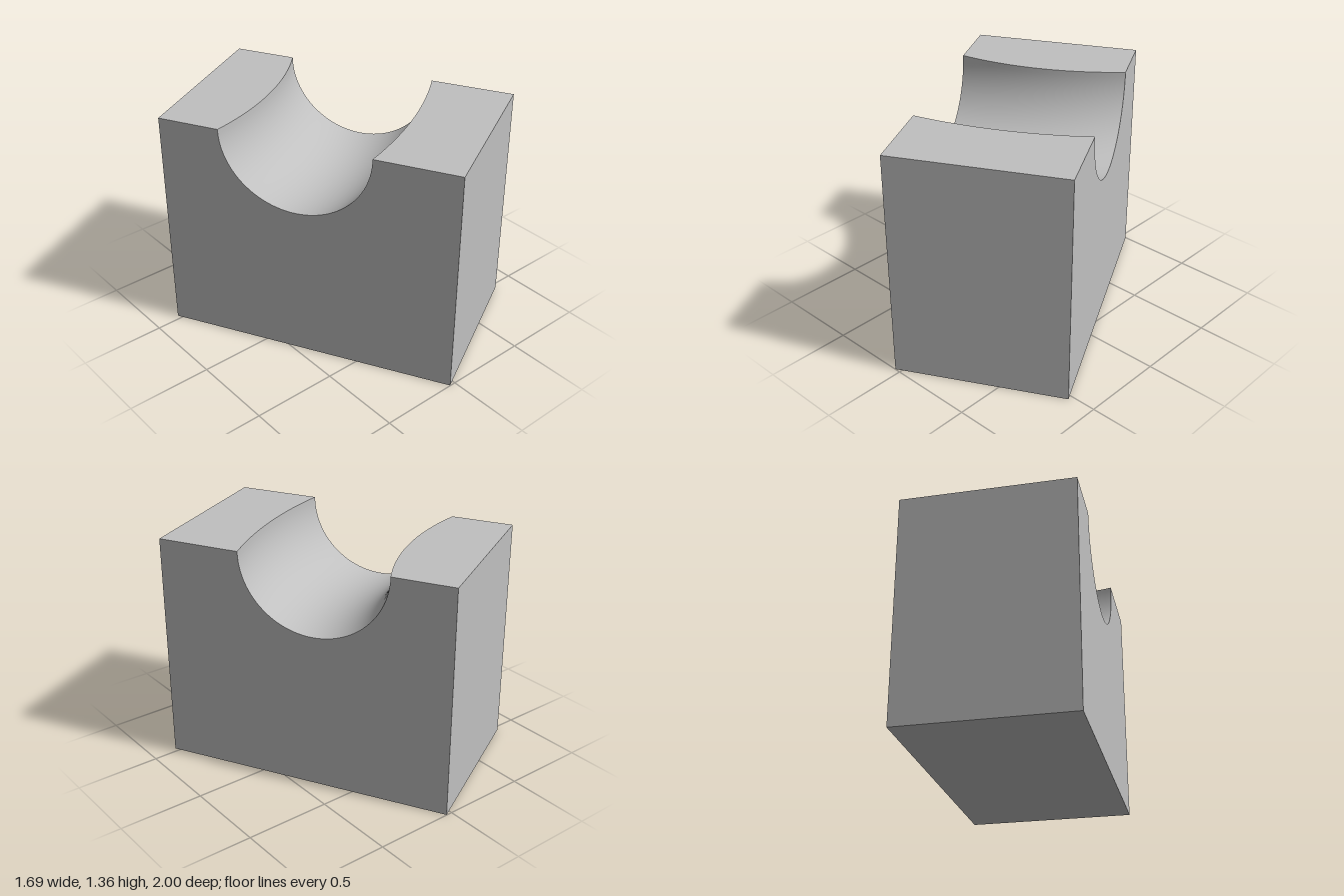
import * as THREE from 'three';

const HALF_W = 0.5, HALF_L = 0.865, H = 1.355; // block size
const RING = 2.1, R = 0.428;                   // curved groove: sweep radius and tube radius
const STEPS = 32, ARC = 48;

const grey = new THREE.MeshStandardMaterial({ color: 0xc0c0c0 });
grey.name = 'plain grey';

// z of the groove surface at a given x and tube angle (0 = front rim, PI = back rim)
const grooveZ = (x, t) => -RING + Math.sqrt((RING + R * Math.cos(t)) ** 2 - x * x);
const lerp = THREE.MathUtils.lerp;
const across = (a) => lerp(-HALF_W, HALF_W, a);

// Surface from a rule (a, b) -> [x, y, z]; faces along da x db
function panel(name, na, nb, rule) {
  const geo = new THREE.PlaneGeometry(1, 1, na, nb);
  const pos = geo.attributes.position, uv = geo.attributes.uv;
  for (let i = 0; i < pos.count; i++) pos.setXYZ(i, ...rule(uv.getX(i), uv.getY(i)));
  geo.computeVertexNormals();
  const mesh = new THREE.Mesh(geo, grey);
  mesh.name = name;
  return mesh;
}

// End wall with the groove cut out of its top edge; side is +1 or -1 along x
function endWall(name, side) {
  const pts = [[-HALF_L, 0], [HALF_L, 0], [HALF_L, H]];
  for (let i = 0; i <= ARC; i++) {
    const t = (i / ARC) * Math.PI;
    pts.push([grooveZ(HALF_W, t), H - R * Math.sin(t)]);
  }
  pts.push([-HALF_L, H]);
  const shape = new THREE.Shape(pts.map(([z, y]) => new THREE.Vector2(-side * z, y)));
  const geo = new THREE.ShapeGeometry(shape);
  geo.rotateY(side * Math.PI / 2);
  geo.translate(side * HALF_W, 0, 0);
  const mesh = new THREE.Mesh(geo, grey);
  mesh.name = name;
  return mesh;
}

export function createModel() {
  const block = new THREE.Group();
  block.name = 'groovedBlock';

  // Flat outer faces
  block.add(
    panel('frontWall', 1, 1, (a, b) => [across(a), b * H, HALF_L]),
    panel('backWall', 1, 1, (a, b) => [-across(a), b * H, -HALF_L]),
    panel('base', 1, 1, (a, b) => [across(a), 0, lerp(-HALF_L, HALF_L, b)]),
    endWall('leftEnd', 1),
    endWall('rightEnd', -1),
  );

  // Top lands on both sides of the groove
  block.add(
    panel('frontLand', STEPS, 1, (a, b) => [across(a), H, lerp(HALF_L, grooveZ(across(a), 0), b)]),
    panel('backLand', STEPS, 1, (a, b) => [across(a), H, lerp(grooveZ(across(a), Math.PI), -HALF_L, b)]),
  );

  // Curved half-round groove
  block.add(panel('groove', STEPS, ARC, (a, b) => {
    const t = b * Math.PI;
    return [across(a), H - R * Math.sin(t), grooveZ(across(a), t)];
  }));

  // The block stands turned about the vertical
  block.rotation.y = 0.488;
  const model = new THREE.Group();
  model.name = 'model';
  model.add(block);
  return model;
}
